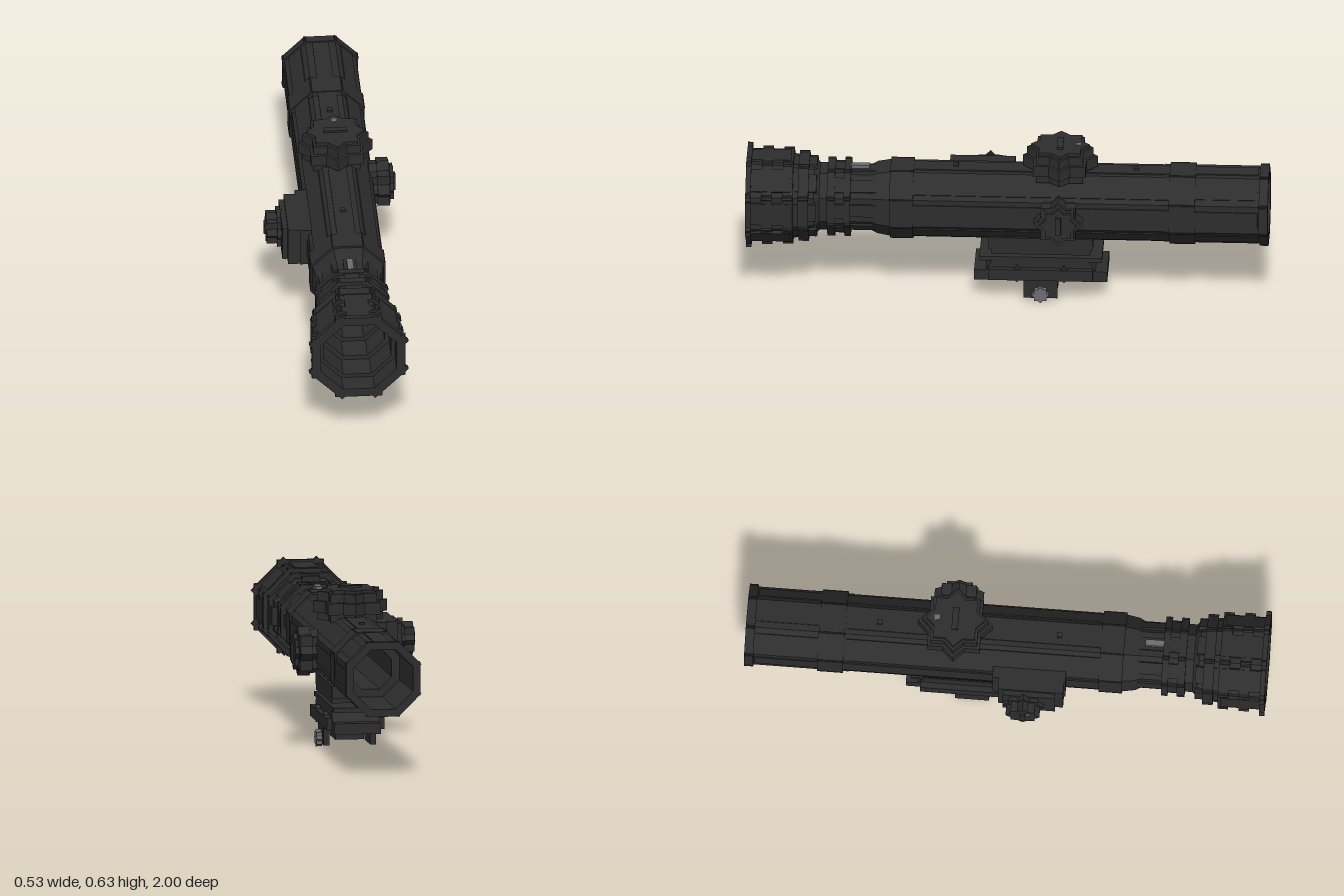
import * as THREE from 'three';

const CX = 0.033, CY = 0.38; // optical axis

export function createModel() {
  const model = new THREE.Group();
  const black = new THREE.MeshStandardMaterial({ color: 0x2d2d2d });
  black.name = 'matte black';
  const steel = new THREE.MeshStandardMaterial({ color: 0x6b6b72 });
  steel.name = 'steel grey';

  const add = (parent, name, geo, mat = black) => {
    const mesh = new THREE.Mesh(geo, mat);
    mesh.name = name;
    parent.add(mesh);
    return mesh;
  };
  const group = (name, x, y, z) => {
    const g = new THREE.Group();
    g.name = name;
    g.position.set(x, y, z);
    model.add(g);
    return g;
  };
  // Box given by its limits on each axis
  const box = (parent, name, x0, x1, y0, y1, z0, z1, mat) => {
    const m = add(parent, name, new THREE.BoxGeometry(x1 - x0, y1 - y0, z1 - z0), mat);
    m.position.set((x0 + x1) / 2, (y0 + y1) / 2, (z0 + z1) / 2);
    return m;
  };
  const flat = (geo) => {
    const g = geo.toNonIndexed();
    g.computeVertexNormals();
    return g;
  };

  // Hollow octagonal tube: outer wall to the front, stepped bore back again
  const tube = group('tube', CX, CY, 0);
  const profile = [
    [0.138, -1], [0.138, -0.72], [0.138, -0.6], [0.136, -0.6], [0.136, 0.45],
    [0.128, 0.5], [0.118, 0.52], [0.118, 0.6], [0.128, 0.6], [0.128, 0.69],
    [0.12, 0.69], [0.12, 0.72], [0.14, 0.74], [0.15, 0.82], [0.158, 0.86], [0.165, 1],
    [0.145, 1], [0.145, 0.92], [0.13, 0.92], [0.13, 0.82], [0.112, 0.82], [0.112, 0.72],
    [0.096, 0.72], [0.096, 0.55], [0.08, 0.55], [0.08, -0.7], [0.11, -0.7], [0.115, -1],
    [0.138, -1],
  ].map(([a, z]) => new THREE.Vector2(a / Math.cos(Math.PI / 8), z));
  const shell = new THREE.LatheGeometry(profile, 8, Math.PI / 8);
  shell.rotateX(Math.PI / 2);
  add(tube, 'tubeShell', flat(shell));

  // Eight plates round the tube; long ones overlap into notched corners
  const plates = (name, apothem, half, thick, z0, z1) => {
    for (let i = 0; i < 8; i++) {
      const geo = new THREE.BoxGeometry(2 * half, thick, z1 - z0);
      geo.translate(0, apothem - thick / 2, (z0 + z1) / 2);
      add(tube, name, geo).rotation.z = (i * Math.PI) / 4;
    }
  };
  plates('eyepieceFlange', 0.18, 0.09, 0.025, 0.98, 1);
  plates('eyepieceRib', 0.172, 0.045, 0.02, 0.83, 0.98);
  plates('eyepieceBand', 0.171, 0.079, 0.02, 0.9, 0.94);
  plates('eyepieceBand', 0.169, 0.077, 0.02, 0.82, 0.86);
  plates('eyepieceCollar', 0.158, 0.072, 0.02, 0.76, 0.8);
  plates('eyepieceCollarRib', 0.152, 0.035, 0.02, 0.73, 0.83);
  plates('focusRing', 0.138, 0.063, 0.015, 0.66, 0.69);
  plates('focusRing', 0.138, 0.063, 0.015, 0.6, 0.625);
  plates('focusRib', 0.134, 0.03, 0.015, 0.6, 0.69);
  plates('neckRib', 0.126, 0.025, 0.01, 0.5, 0.6);
  plates('frontBand', 0.143, 0.061, 0.01, 0.36, 0.45);
  plates('bodyRib', 0.141, 0.036, 0.008, -0.62, 0.36);
  plates('rearBand', 0.144, 0.062, 0.01, -0.72, -0.62);
  plates('rearRib', 0.142, 0.032, 0.008, -0.96, -0.72);
  plates('rearRim', 0.144, 0.064, 0.012, -1, -0.965);
  box(tube, 'neckScrew', -0.012, 0.012, 0.12, 0.14, 0.53, 0.6, steel);
  for (const z of [0.2, -0.49]) box(tube, 'topStud', -0.01, 0.01, 0.135, 0.149, z - 0.01, z + 0.01);

  // Eight-pointed knob layer: two square blocks turned 45 degrees
  const star = (parent, name, half, y0, y1, mat) => {
    for (const turn of [0, Math.PI / 4]) {
      box(parent, name, -half, half, y0, y1, -half, half, mat).rotation.y = turn;
    }
  };

  // Elevation turret on top
  const top = group('elevationTurret', CX, 0.5, -0.2);
  star(top, 'turretBase', 0.09, 0, 0.11);
  star(top, 'turretGrip', 0.101, 0.03, 0.075);
  star(top, 'turretCap', 0.08, 0.1, 0.122);
  box(top, 'turretSlot', -0.045, 0.045, 0.12, 0.13, -0.012, 0.012);
  box(top, 'turretMark', -0.01, 0.01, 0.12, 0.125, -0.08, -0.06, steel);

  // Windage turret on the left side
  const side = group('windageTurret', 0.16, CY, -0.2);
  side.rotation.z = -Math.PI / 2;
  star(side, 'turretBase', 0.06, 0, 0.08);
  star(side, 'turretGrip', 0.067, 0.03, 0.077);
  star(side, 'turretCap', 0.05, 0.08, 0.094);
  box(side, 'turretSlot', -0.036, 0.036, 0.09, 0.103, -0.011, 0.011);

  // Battery housing and dial on the right side
  const housing = group('sideHousing', 0, CY, 0.09);
  box(housing, 'housingBase', -0.135, -0.09, -0.075, 0.08, -0.135, 0.145);
  box(housing, 'housingStep', -0.18, -0.13, -0.075, 0.08, -0.11, 0.14);
  box(housing, 'housingFace', -0.2, -0.17, -0.07, 0.07, -0.09, 0.11);
  const dial = group('sideDial', -0.195, CY, 0.08);
  dial.rotation.z = Math.PI / 2;
  star(dial, 'dialCollar', 0.056, 0, 0.02);
  star(dial, 'dialGrip', 0.046, 0.02, 0.06);
  box(dial, 'dialSlot', -0.025, 0.025, 0.06, 0.068, -0.01, 0.01);
  box(dial, 'dialMark', 0.01, 0.03, 0.058, 0.063, 0.012, 0.03, steel);

  // Mount: upper saddle, a narrow gap, then the rail clamp
  const mount = group('mount', CX, 0, -0.128);
  box(mount, 'saddle', -0.09, 0.09, 0.212, 0.26, -0.2, 0.2);
  box(mount, 'saddleFoot', -0.09, 0.09, 0.192, 0.214, -0.19, 0.19);
  box(mount, 'clampTop', -0.09, 0.09, 0.162, 0.18, -0.235, 0.235);
  // Clamp body with sloped ends
  const outline = new THREE.Shape([
    [-0.255, 0.08], [0.255, 0.08], [0.255, 0.122], [0.21, 0.122],
    [0.185, 0.165], [-0.185, 0.165], [-0.21, 0.122], [-0.255, 0.122],
  ].map(([z, y]) => new THREE.Vector2(z, y)));
  const body = new THREE.ExtrudeGeometry(outline, { depth: 0.18, bevelEnabled: false });
  body.translate(0, 0, -0.09);
  body.rotateY(Math.PI / 2);
  add(mount, 'clampBody', body);
  box(mount, 'clampUnderside', -0.09, 0.09, 0.058, 0.085, -0.065, 0.065);
  box(mount, 'rightRail', -0.113, -0.085, 0.09, 0.135, -0.2, 0.2);
  box(mount, 'leftRail', 0.085, 0.111, 0.09, 0.135, -0.2, 0.2);
  for (const z of [-0.09, 0.09]) {
    const lug = box(mount, 'clampLug', 0.085, 0.107, 0.09, 0.138, z - 0.024, z + 0.024);
    lug.rotation.x = Math.PI / 4;
  }
  box(mount, 'crossBar', -0.056, 0.056, 0.033, 0.06, -0.065, 0.065);
  for (const s of [-1, 1]) {
    const x = s * 0.09;
    box(mount, 'clampJaw', x - 0.011, x + 0.011, 0.012, 0.085, -0.065, 0.065);
  }
  // Clamp screw
  const knob = group('clampScrew', 0.143, 0.033, -0.128);
  knob.rotation.z = -Math.PI / 2;
  star(knob, 'screwHead', 0.0233, -0.012, 0.012, steel);

  return model;
}
